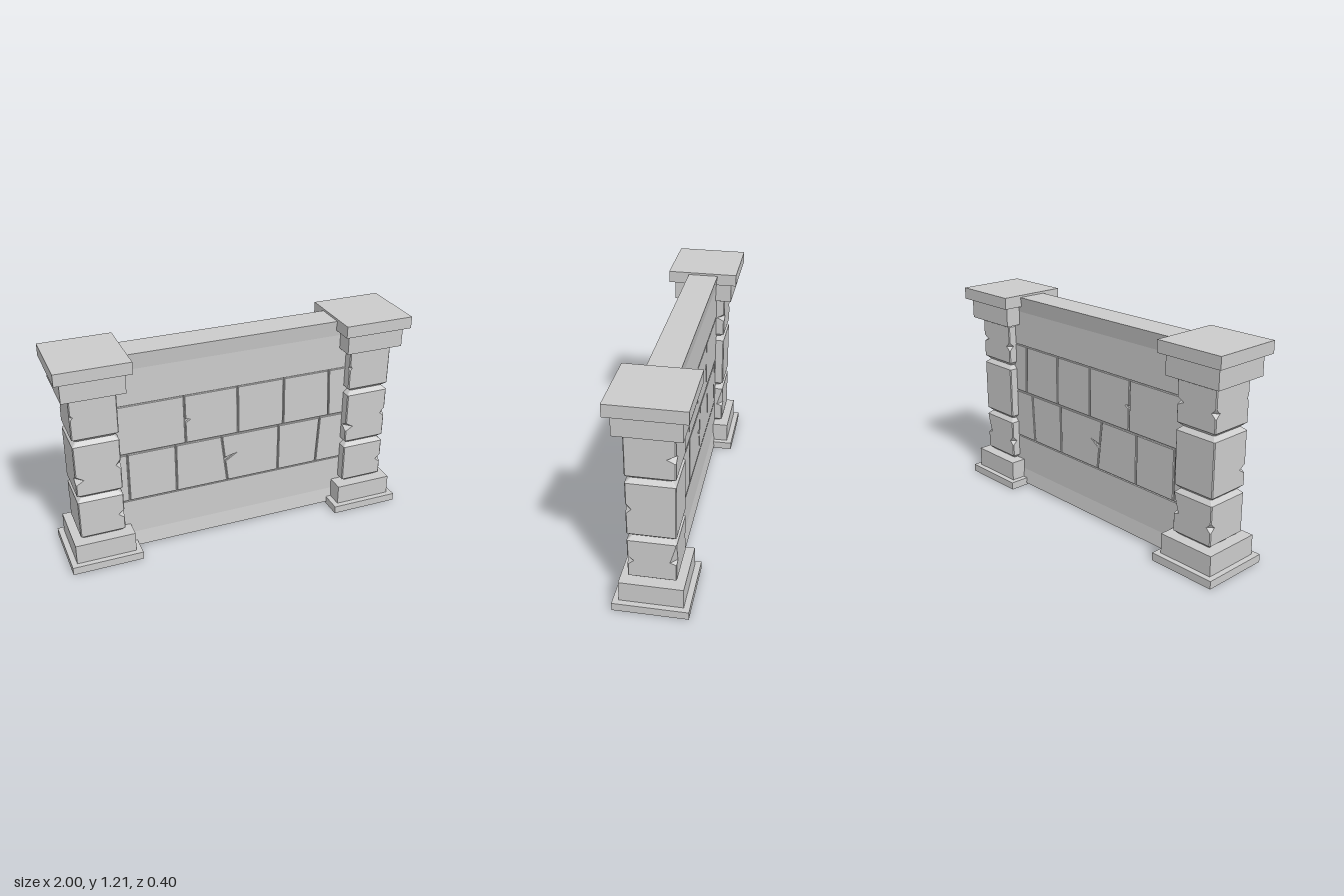
import * as THREE from 'three';

const material = new THREE.MeshStandardMaterial({ color: 0xcccccc, flatShading: true });

function add(parent, name, geometry, x = 0, y = 0, z = 0) {
  const mesh = new THREE.Mesh(geometry, material);
  mesh.name = name;
  mesh.position.set(x, y, z);
  parent.add(mesh);
  return mesh;
}

// Square slab between two heights
function slab(parent, name, width, y0, y1) {
  add(parent, name, new THREE.BoxGeometry(width, y1 - y0, width), 0, (y0 + y1) / 2, 0);
}

// Bevelled stone block lofted from eight-sided rings; chips cut into its corners.
// A chip is [corner, height, depth, half height below, half height above].
function chippedBlock(y0, y1, chips) {
  const half = 0.126, neck = 0.102, bevel = 0.022, edge = 0.005;
  const signs = [[1, 1], [1, -1], [-1, -1], [-1, 1]]; // corners as x, z signs
  const levels = new Set([y0, y0 + bevel, y1 - bevel, y1]);
  chips.forEach(([, y, , lo, hi]) => [y - lo, y, y + hi].forEach((v) => levels.add(v)));
  const ys = [...levels].sort((a, b) => a - b);
  const rings = ys.map((y) => {
    const h = y === y0 || y === y1 ? neck : half;
    return signs.flatMap(([sx, sz], corner) => {
      let cut = edge;
      for (const [c, cy, depth, lo, hi] of chips) {
        if (c !== corner) continue;
        const t = 1 - (y > cy ? (y - cy) / hi : (cy - y) / lo);
        if (t > 0) cut = Math.max(cut, depth * t);
      }
      const onZ = [sx * (h - cut), y, sz * h], onX = [sx * h, y, sz * (h - cut)];
      return sx * sz > 0 ? [onZ, onX] : [onX, onZ];
    });
  });
  const positions = rings.flat(2), index = [], n = 8;
  for (let i = 0; i < rings.length - 1; i++) {
    for (let j = 0; j < n; j++) {
      const a = i * n + j, b = i * n + (j + 1) % n;
      index.push(a, b, b + n, a, b + n, a + n);
    }
  }
  const top = (rings.length - 1) * n;
  for (let j = 1; j < n - 1; j++) {
    index.push(0, j + 1, j, top, top + j, top + j + 1);
  }
  const geometry = new THREE.BufferGeometry();
  geometry.setAttribute('position', new THREE.Float32BufferAttribute(positions, 3));
  geometry.setIndex(index);
  const flat = geometry.toNonIndexed();
  flat.computeVertexNormals();
  return flat;
}

function createPillar() {
  const pillar = new THREE.Group();
  slab(pillar, 'baseSlab', 0.4, 0, 0.045);
  slab(pillar, 'plinth', 0.337, 0.045, 0.16);
  add(pillar, 'lowerBlock', chippedBlock(0.16, 0.425, [
    [0, 0.28, 0.035, 0.025, 0.025], [1, 0.29, 0.035, 0.012, 0.1], [2, 0.28, 0.03, 0.025, 0.025]]));
  add(pillar, 'middleBlock', chippedBlock(0.425, 0.768, [
    [0, 0.595, 0.03, 0.025, 0.03], [3, 0.54, 0.045, 0.025, 0.025]]));
  add(pillar, 'upperBlock', chippedBlock(0.768, 1.033, [
    [1, 0.9, 0.045, 0.02, 0.025], [2, 0.89, 0.03, 0.025, 0.025], [3, 0.92, 0.018, 0.015, 0.015]]));
  slab(pillar, 'capital', 0.337, 1.03, 1.147);
  slab(pillar, 'capSlab', 0.4, 1.145, 1.212);
  return pillar;
}

const face = 0.073; // half thickness of the wall
const reach = 0.7;  // the wall ends inside the pillars

// Horizontal course: symmetric [half depth, height] profile swept along x
function course(profile) {
  const points = [...profile.map(([z, y]) => [z, y]), ...profile.map(([z, y]) => [-z, y]).reverse()];
  const shape = new THREE.Shape(points.map(([z, y]) => new THREE.Vector2(z, y)));
  const geometry = new THREE.ExtrudeGeometry(shape, { depth: 2 * reach, bevelEnabled: false });
  return geometry.translate(0, 0, -reach).rotateY(Math.PI / 2);
}

// Wall stone from an outline, going right through the wall, with a fine bevel
function stone(points) {
  const shape = new THREE.Shape(points.map(([x, y]) => new THREE.Vector2(x, y)));
  const b = 0.004;
  return new THREE.ExtrudeGeometry(shape, {
    depth: 2 * (face - b), bevelThickness: b, bevelSize: b, bevelOffset: -b, bevelSegments: 1,
  }).translate(0, 0, b - face);
}

// Row of stones; each seam is [x at the bottom, x at the top]
function stoneRow(wall, name, y0, y1, seams, notches = {}) {
  const gap = 0.002;
  const ends = [[-reach, -reach], ...seams, [reach, reach]];
  for (let i = 0; i < ends.length - 1; i++) {
    const [l0, l1] = ends[i], [r0, r1] = ends[i + 1];
    const outline = [[l0 + gap, y0 + gap], [r0 - gap, y0 + gap], [r1 - gap, y1 - gap], [l1 + gap, y1 - gap]];
    // Sliver broken out of the left edge
    if (notches[i]) {
      const { y, height, tip } = notches[i];
      const at = (v) => l0 + gap + (l1 - l0) * (v - y0) / (y1 - y0);
      outline.push([at(y + height), y + height], tip, [at(y), y]);
    }
    add(wall, name + (i + 1), stone(outline));
  }
}

export function createModel() {
  const model = new THREE.Group();
  model.name = 'stoneWallWithPillars';

  for (const [name, x] of [['leftPillar', 0.8], ['rightPillar', -0.8]]) {
    const pillar = createPillar();
    pillar.name = name;
    pillar.position.x = x;
    model.add(pillar);
  }

  const wall = new THREE.Group();
  wall.name = 'wall';
  wall.position.z = -0.004;
  model.add(wall);

  // Plain courses flare slightly towards the ground and the top
  add(wall, 'bottomCourse', course([[0.085, 0.012], [face, 0.1], [face, 0.31]]));
  add(wall, 'topCourse', course([[face, 0.907], [face, 1.11], [0.086, 1.2]]));
  add(wall, 'core', new THREE.BoxGeometry(2 * reach, 0.62, 0.124), 0, 0.61, 0);

  stoneRow(wall, 'lowerStone', 0.312, 0.61,
    [[-0.625, -0.625], [-0.35, -0.35], [-0.045, -0.08], [0.27, 0.27], [0.515, 0.53]],
    { 3: { y: 0.445, height: 0.02, tip: [0.01, 0.485] } });
  stoneRow(wall, 'upperStone', 0.61, 0.905,
    [[-0.29, -0.295], [0.02, 0.015], [0.297, 0.293], [0.585, 0.572]],
    { 1: { y: 0.74, height: 0.02, tip: [-0.265, 0.755] } });
  return model;
}
